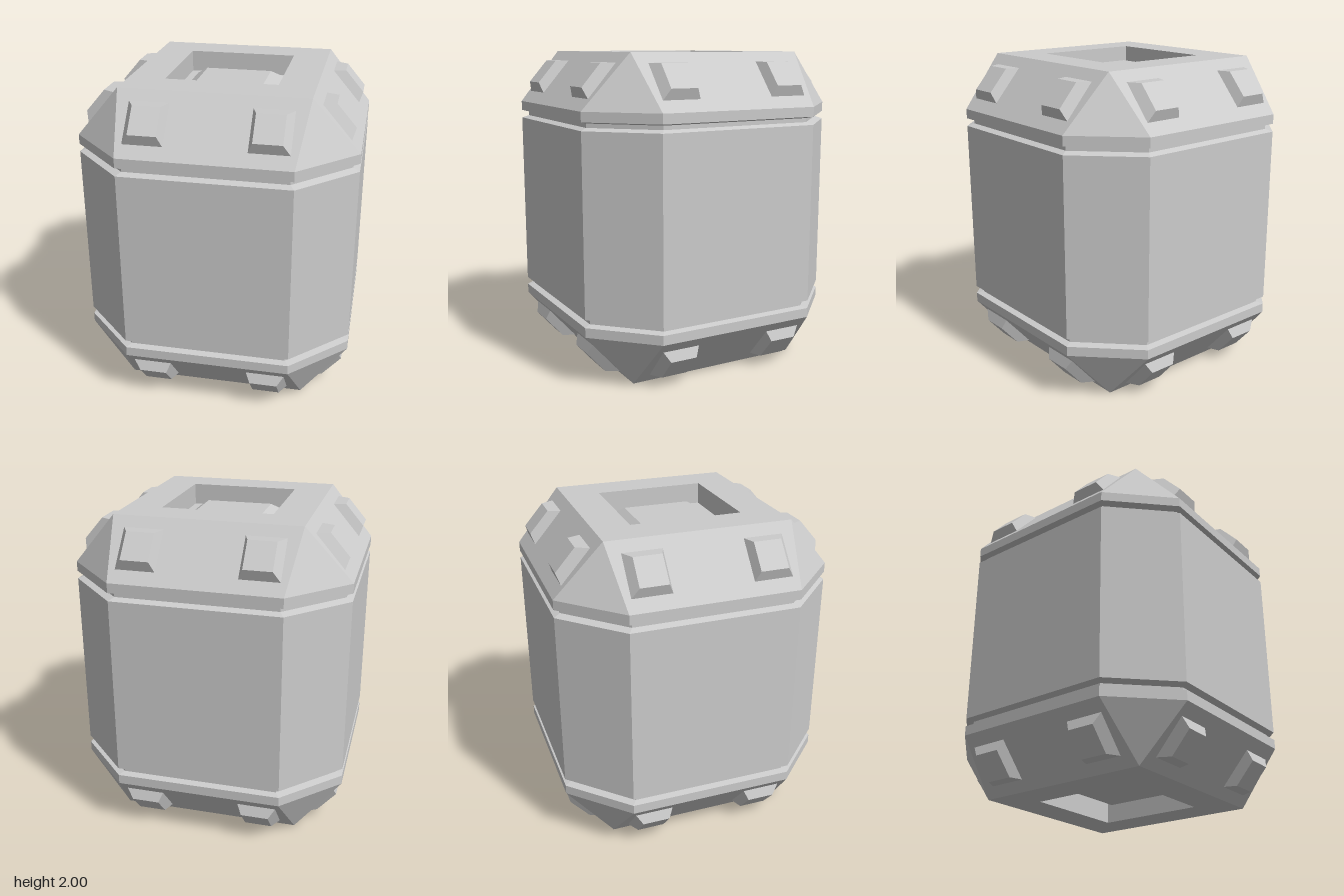
import * as THREE from 'three';

const material = new THREE.MeshStandardMaterial({ color: 0xcccccc, flatShading: true });

// Skin a stack of point rings; optionally close the last ring.
function loft(name, rings, closeEnd) {
  const pos = [];
  const tri = (a, b, c) => {
    const area = new THREE.Triangle(a, b, c).getArea();
    if (area > 1e-7) for (const p of [a, b, c]) pos.push(p.x, p.y, p.z);
  };
  for (let r = 0; r < rings.length - 1; r++) {
    const a = rings[r], b = rings[r + 1];
    for (let i = 0; i < a.length; i++) {
      const j = (i + 1) % a.length;
      tri(a[i], a[j], b[j]);
      tri(a[i], b[j], b[i]);
    }
  }
  if (closeEnd) {
    const e = rings[rings.length - 1];
    for (let i = 1; i < e.length - 1; i++) tri(e[0], e[i], e[i + 1]);
  }
  const geometry = new THREE.BufferGeometry();
  geometry.setAttribute('position', new THREE.Float32BufferAttribute(pos, 3));
  geometry.computeVertexNormals();
  const mesh = new THREE.Mesh(geometry, material);
  mesh.name = name;
  return mesh;
}

// Square of half-width h with corners cut so each flat is 2f wide (f = h keeps it square).
function ring(y, h, f = h) {
  return [[-f, h], [f, h], [h, f], [h, -f], [f, -h], [-f, -h], [-h, -f], [-h, f]]
    .map(([x, z]) => new THREE.Vector3(x, y, z));
}

// Sloped end faces: from half-width TOP at y = 2 down to WIDE at y = 1.67.
const TOP = 0.57, WIDE = 0.855, FLAT = 0.515, SHOULDER = 1.67;
const slope = new THREE.Vector2(WIDE - TOP, 2 - SHOULDER).normalize();

// Point on the front slope: x across, s down the slope, n out of it.
const onSlope = (x, s, n) => new THREE.Vector3(
  x, 2 - s * slope.y + n * slope.x, TOP + s * slope.x + n * slope.y);

const slopeRect = (x0, x1, s0, s1, n) =>
  [[x0, s1], [x1, s1], [x1, s0], [x0, s0]].map(([x, s]) => onSlope(x, s, n));

// Bevelled block on the slope
function stud(side) {
  const span = (a, b) => (side > 0 ? [a, b] : [-b, -a]);
  return loft('stud', [
    slopeRect(...span(0.242, 0.488), 0.075, 0.35, -0.005),
    slopeRect(...span(0.272, 0.443), 0.13, 0.312, 0.058),
  ], true);
}

function createEnd(name) {
  const end = new THREE.Group();
  end.name = name;

  // Groove below the cap
  end.add(loft('groove', [
    ring(1.56, WIDE, FLAT), ring(1.575, 0.815, 0.49),
    ring(1.6, 0.815, 0.49), ring(1.61, WIDE, FLAT),
  ], false));

  // Cap with sloped sides and a square recess
  end.add(loft('cap', [
    ring(1.61, WIDE, FLAT), ring(SHOULDER, WIDE, FLAT), ring(2, TOP),
    ring(2, 0.345), ring(1.865, 0.345), ring(1.865, 0.297),
  ], false));

  // Raised panel inside the recess
  end.add(loft('recessPanel', [ring(1.865, 0.297), ring(1.925, 0.213)], true));

  // Two studs on each of the four slopes
  for (let k = 0; k < 4; k++) {
    const pair = new THREE.Group();
    pair.name = 'studPair';
    pair.add(stud(1), stud(-1));
    pair.rotation.y = k * Math.PI / 2;
    end.add(pair);
  }
  return end;
}

export function createModel() {
  const model = new THREE.Group();
  model.name = 'container';
  const shell = new THREE.Group();
  shell.name = 'shell';
  shell.scale.z = 1.012;
  model.add(shell);

  // Eight-sided middle section
  shell.add(loft('body', [ring(0.44, WIDE, FLAT), ring(1.56, WIDE, FLAT)], false));

  // Matching ends; the lower one is turned over
  const upper = createEnd('upperEnd');
  const lower = createEnd('lowerEnd');
  lower.rotation.x = Math.PI;
  lower.position.y = 2;
  shell.add(upper, lower);
  return model;
}
